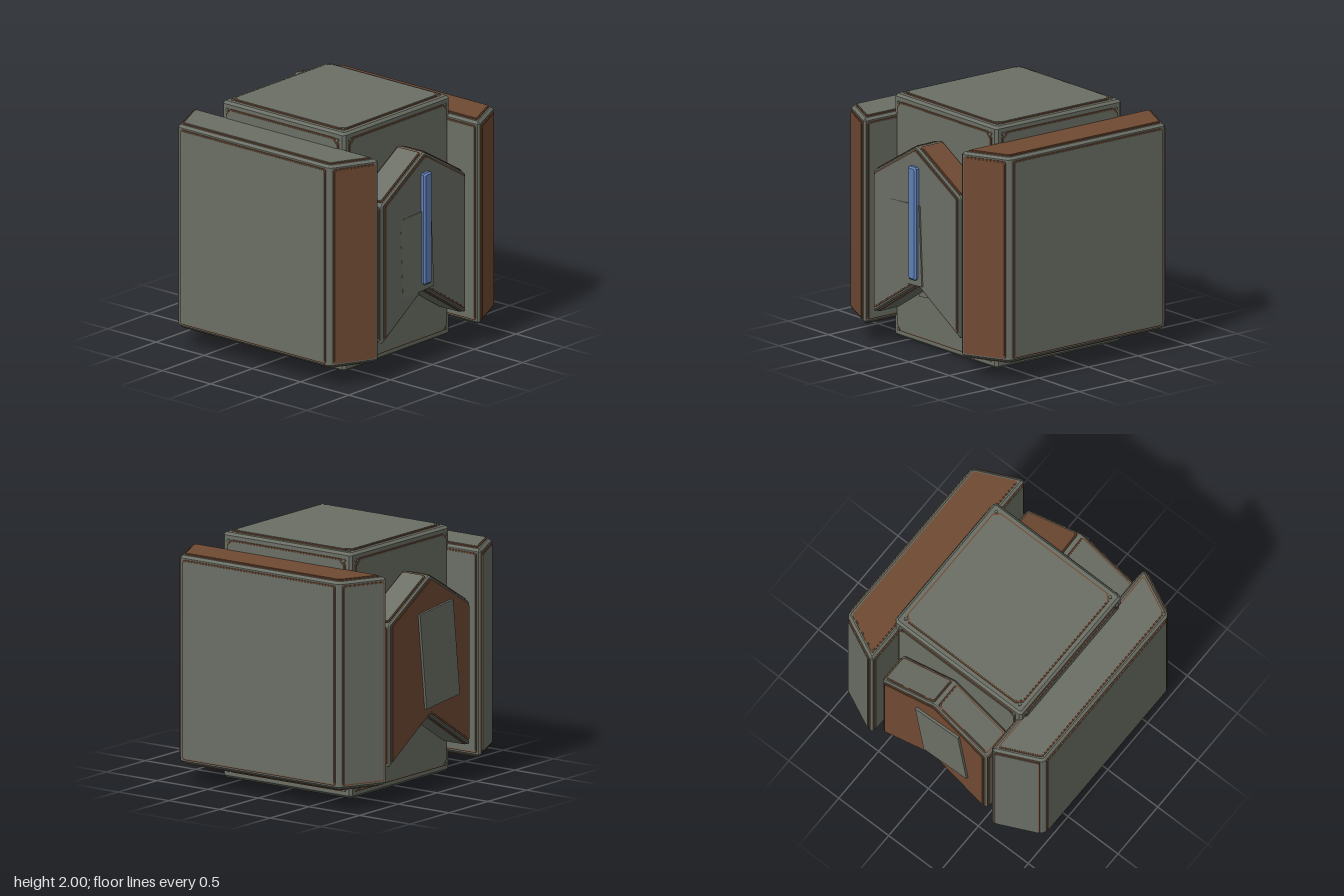
import * as THREE from 'three';

const grey = new THREE.MeshStandardMaterial({ name: 'stone grey', color: 0x6b6f65 });
const brown = new THREE.MeshStandardMaterial({ name: 'rust brown', color: 0x704a33 });
const blue = new THREE.MeshStandardMaterial({ name: 'glow blue', color: 0x6080b8 });

const V2 = (x, y) => new THREE.Vector2(x, y);
const rect = (w, h) => [V2(-w / 2, -h / 2), V2(w / 2, -h / 2), V2(w / 2, h / 2), V2(-w / 2, h / 2)];
const mirrorX = (pts) => pts.map((p) => V2(-p.x, p.y)).reverse();

// Offset a counter-clockwise polygon inwards
function inset(pts, m) {
  const n = pts.length;
  const normal = (i) => {
    const d = pts[(i + 1) % n].clone().sub(pts[i % n]).normalize();
    return V2(d.y, -d.x);
  };
  return pts.map((p, i) => {
    const a = normal(i + n - 1), b = normal(i);
    return p.clone().addScaledVector(a.clone().add(b), -m / (1 + a.dot(b)));
  });
}

// Replace every corner by a short chamfer
function cutCorners(pts, c) {
  const n = pts.length;
  return pts.flatMap((p, i) => [pts[(i + n - 1) % n], pts[(i + 1) % n]].map((q) =>
    p.clone().add(q.clone().sub(p).setLength(c))));
}

function mesh(name, geometry, material) {
  const m = new THREE.Mesh(geometry, material);
  m.name = name;
  return m;
}

function plate(name, pts, depth, material) {
  const g = new THREE.ExtrudeGeometry(new THREE.Shape(pts), { depth, bevelEnabled: false });
  return mesh(name, g, material);
}

// Box with chamfered edges, centred on its own origin
function chamferBox(name, w, h, d, b, material) {
  const g = new THREE.ExtrudeGeometry(new THREE.Shape(cutCorners(rect(w, h), b)), {
    depth: d - 2 * b, bevelSize: b, bevelThickness: b, bevelOffset: -b, bevelSegments: 1,
  });
  return mesh(name, g.translate(0, 0, b - d / 2), material);
}

// Raised panel: brown rim below, coloured face on top
function panel(name, pts, cut, rise, material, rivets) {
  const g = new THREE.Group();
  g.name = name;
  g.add(plate('panelRim', cutCorners(pts, cut), rise * 0.7, brown));
  g.add(plate('panelFace', cutCorners(inset(pts, 0.01), cut), rise, material));
  if (rivets) {
    for (const p of inset(pts, 0.012)) {
      const r = mesh('rivet', new THREE.CylinderGeometry(0.014, 0.014, 0.016, 10), grey);
      r.rotation.x = Math.PI / 2;
      r.position.set(p.x, p.y, 0.004);
      g.add(r);
    }
  }
  return g;
}

// Chamfered prism along z with a raised panel on every face
function panelledPrism(name, pts, depth, o) {
  const { margin, cut = 0.012, rise = 0.013, bevel = 0.02, caps = [grey, grey], sides = {}, rivets = false } = o;
  const group = new THREE.Group();
  group.name = name;
  const body = new THREE.ExtrudeGeometry(new THREE.Shape(cutCorners(pts, bevel)), {
    depth: depth - 2 * bevel, bevelSize: bevel, bevelThickness: bevel, bevelOffset: -bevel, bevelSegments: 1,
  });
  group.add(mesh('body', body.translate(0, 0, bevel - depth / 2), grey));

  const top = panel('capPanel', inset(pts, margin), cut, rise, caps[0], rivets);
  top.position.z = depth / 2;
  const bottom = panel('capPanel', inset(mirrorX(pts), margin), cut, rise, caps[1], rivets);
  bottom.rotation.y = Math.PI;
  bottom.position.z = -depth / 2;
  group.add(top, bottom);

  pts.forEach((p, i) => {
    const q = pts[(i + 1) % pts.length];
    const length = p.distanceTo(q);
    const u = new THREE.Vector3(q.x - p.x, q.y - p.y, 0).normalize();
    const face = rect(length - 2 * margin, depth - 2 * margin);
    const side = panel('sidePanel', face, cut, rise, sides[i] || grey, rivets);
    const basis = new THREE.Matrix4().makeBasis(u, new THREE.Vector3(0, 0, 1), new THREE.Vector3(u.y, -u.x, 0));
    side.quaternion.setFromRotationMatrix(basis);
    side.position.set((p.x + q.x) / 2, (p.y + q.y) / 2, 0);
    group.add(side);
  });
  return group;
}

export function createModel() {
  const model = new THREE.Group();
  model.name = 'armouredBlock';

  // Central block
  const core = panelledPrism('coreBlock', rect(1.27, 1.27), 1.972,
    { margin: 0.052, cut: 0.045, rise: 0.014, rivets: true });
  core.rotation.x = -Math.PI / 2;
  core.position.y = 1;
  model.add(core);

  // Side slabs with sloping ends
  const slabOutline = [V2(0.597, -0.968), V2(0.985, -0.785), V2(0.985, 0.785), V2(0.597, 0.968)];
  const slabs = [
    panelledPrism('leftSlab', slabOutline, 1.67, { margin: 0.032, caps: [brown, grey], sides: { 0: brown } }),
    panelledPrism('rightSlab', mirrorX(slabOutline), 1.67, { margin: 0.032, caps: [grey, brown], sides: { 2: brown } }),
  ];
  for (const slab of slabs) {
    slab.rotation.x = -Math.PI / 2;
    slab.position.y = 1.005;
    model.add(slab);
  }

  // Pointed shields with a notched foot, front and back
  const shield = [V2(0, 1.74), V2(-0.52, 1.43), V2(-0.52, 0.28), V2(0, 0.61), V2(0.52, 0.28), V2(0.52, 1.43)];
  const front = panelledPrism('frontShield', shield, 0.27, { margin: 0.022, bevel: 0.012, sides: { 5: brown } });
  front.position.set(-0.01, 0, 0.784);
  front.rotation.y = 0.031;
  const back = panelledPrism('backShield', shield, 0.27, { margin: 0.022, bevel: 0.012, caps: [grey, brown] });
  back.position.set(0, 0, -0.79);
  model.add(front, back);

  // Loose tilted plates: [name, width, height, thickness, x, y, z, tilt]
  const plates = [
    ['frontPlate', 0.37, 0.655, 0.02, -0.115, 0.935, 0.932, 0.05],
    ['lowerFrontPlate', 0.48, 0.78, 0.02, -0.1, 0.82, 0.65, 0.115],
    ['backPlate', 0.43, 0.78, 0.022, -0.09, 1.09, -0.947, -0.11],
  ];
  for (const [name, w, h, d, x, y, z, tilt] of plates) {
    const m = mesh(name, new THREE.BoxGeometry(w, h, d), grey);
    m.position.set(x, y, z);
    m.rotation.z = tilt;
    model.add(m);
  }

  // Glowing bar on the front shield
  const bar = chamferBox('lightBar', 0.095, 0.92, 0.06, 0.014, blue);
  bar.position.set(-0.01, 1.12, 0.941);
  model.add(bar);

  return model;
}
